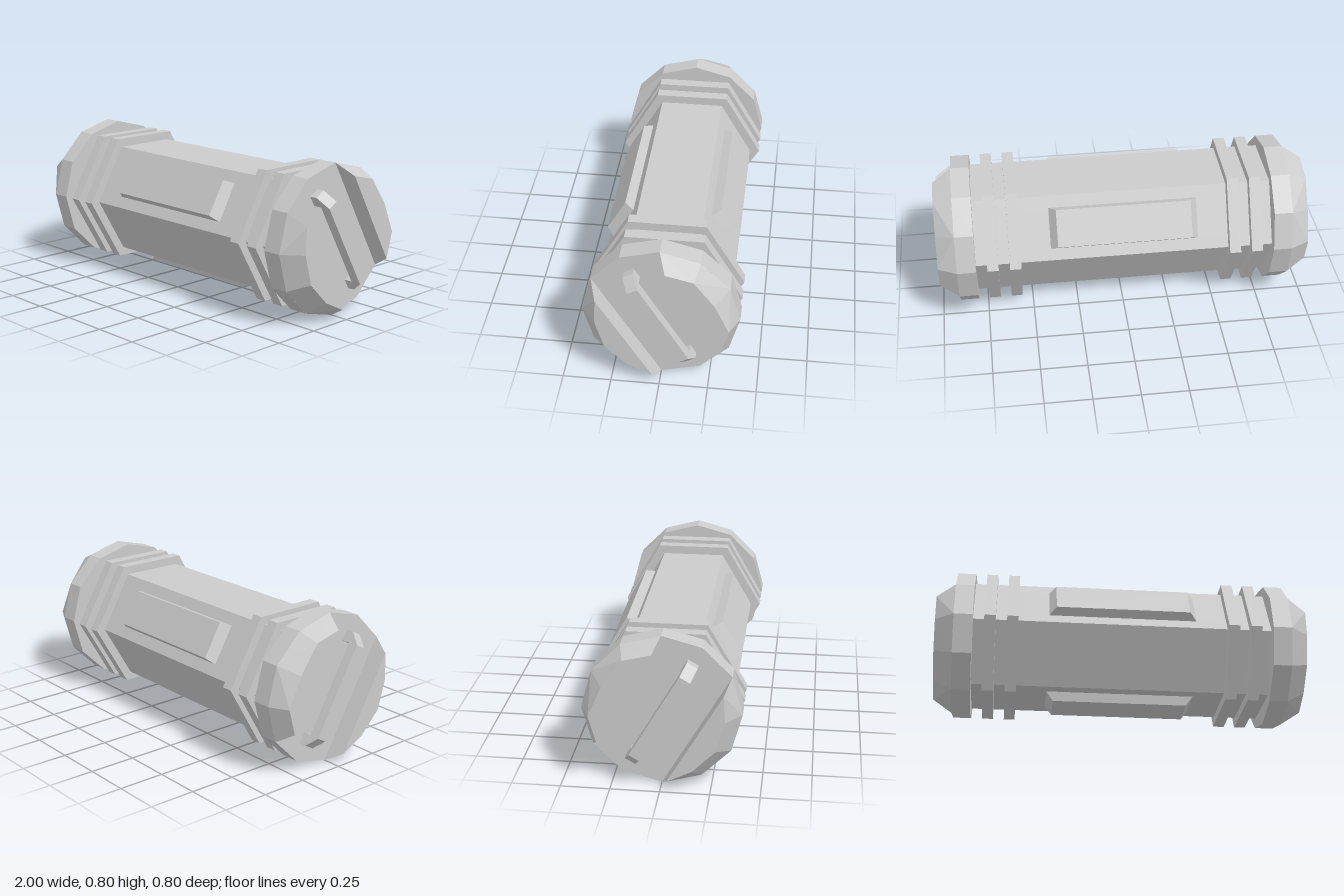
import * as THREE from 'three';
import { ConvexGeometry } from 'three/addons/geometries/ConvexGeometry.js';

const material = new THREE.MeshStandardMaterial({ color: 0xcccccc, flatShading: true });
const AXIS_Y = 0.4;

function addMesh(parent, name, geometry) {
  const mesh = new THREE.Mesh(geometry, material);
  mesh.name = name;
  parent.add(mesh);
  return mesh;
}

// Prism lying along x, with corners on the z axis
function prism(radius, x0, x1, sides) {
  return new THREE.CylinderGeometry(radius, radius, x1 - x0, sides)
    .rotateZ(Math.PI / 2)
    .translate((x0 + x1) / 2, 0, 0);
}

// Raised plate with bevelled edges, sitting under the body
function plateGeometry() {
  const points = [];
  for (const sx of [-1, 1]) for (const sz of [-1, 1]) {
    points.push(new THREE.Vector3(sx * 0.4, -0.295, sz * 0.11));
    points.push(new THREE.Vector3(sx * 0.36, -0.35, sz * 0.1));
  }
  return new ConvexGeometry(points);
}

// Cheek outlines on either side of the end slot: [z, y] from the axis
const cheeks = [
  {
    base: [[0, 0.4], [-0.2, 0.346], [-0.346, 0.2], [-0.4, 0], [-0.346, -0.2]],
    top: [[-0.035, 0.34], [-0.175, 0.305], [-0.28, 0.16], [-0.35, 0], [-0.312, -0.14]],
  },
  {
    base: [[0.346, 0.2], [0.4, 0], [0.346, -0.2], [0.2, -0.346], [0, -0.4]],
    top: [[0.312, 0.14], [0.32, 0], [0.276, -0.16], [0.16, -0.277], [0.035, -0.34]],
  },
];

// Bridge-shaped grip with bevelled ends, running along the slot
function gripGeometry(side) {
  const shape = new THREE.Shape([
    [-0.31, 0.895], [-0.25, 0.895], [-0.25, 0.945], [0.25, 0.945],
    [0.25, 0.895], [0.31, 0.895], [0.31, 0.94], [0.252, 1], [-0.252, 1], [-0.31, 0.94],
  ].map(([u, v]) => new THREE.Vector2(u, v)));
  const along = new THREE.Vector3(0, Math.cos(Math.PI / 6), 0.5);
  const out = new THREE.Vector3(side, 0, 0);
  const across = along.clone().cross(out);
  return new THREE.ExtrudeGeometry(shape, { depth: 0.06, bevelEnabled: false })
    .translate(0, 0, -0.03)
    .applyMatrix4(new THREE.Matrix4().makeBasis(along, out, across));
}

function buildEnd(side) {
  const end = new THREE.Group();
  end.name = side > 0 ? 'leftEnd' : 'rightEnd';

  // Hexagonal collars
  for (const x of [0.59, 0.71]) {
    addMesh(end, 'collar', prism(0.4, side * x - 0.03, side * x + 0.03, 6));
  }

  // Twelve-sided cap, its two cheeks and the grip between them
  addMesh(end, 'cap', prism(0.4, side * 0.85 - 0.05, side * 0.85 + 0.05, 12));
  for (const { base, top } of cheeks) {
    const points = [
      ...base.map(([z, y]) => new THREE.Vector3(side * 0.9, y, z)),
      ...top.map(([z, y]) => new THREE.Vector3(side, y, z)),
    ];
    addMesh(end, 'capCheek', new ConvexGeometry(points));
  }
  addMesh(end, 'grip', gripGeometry(side));
  return end;
}

export function createModel() {
  const model = new THREE.Group();
  model.name = 'canister';
  const core = new THREE.Group();
  core.name = 'canisterParts';
  core.position.y = AXIS_Y;
  model.add(core);

  addMesh(core, 'body', prism(0.346, -0.8, 0.8, 6));

  // Plates on every other face of the body
  for (let i = 0; i < 3; i++) {
    addMesh(core, 'sidePlate', plateGeometry()).rotation.x = (i * Math.PI * 2) / 3;
  }

  for (const side of [-1, 1]) core.add(buildEnd(side));
  return model;
}
